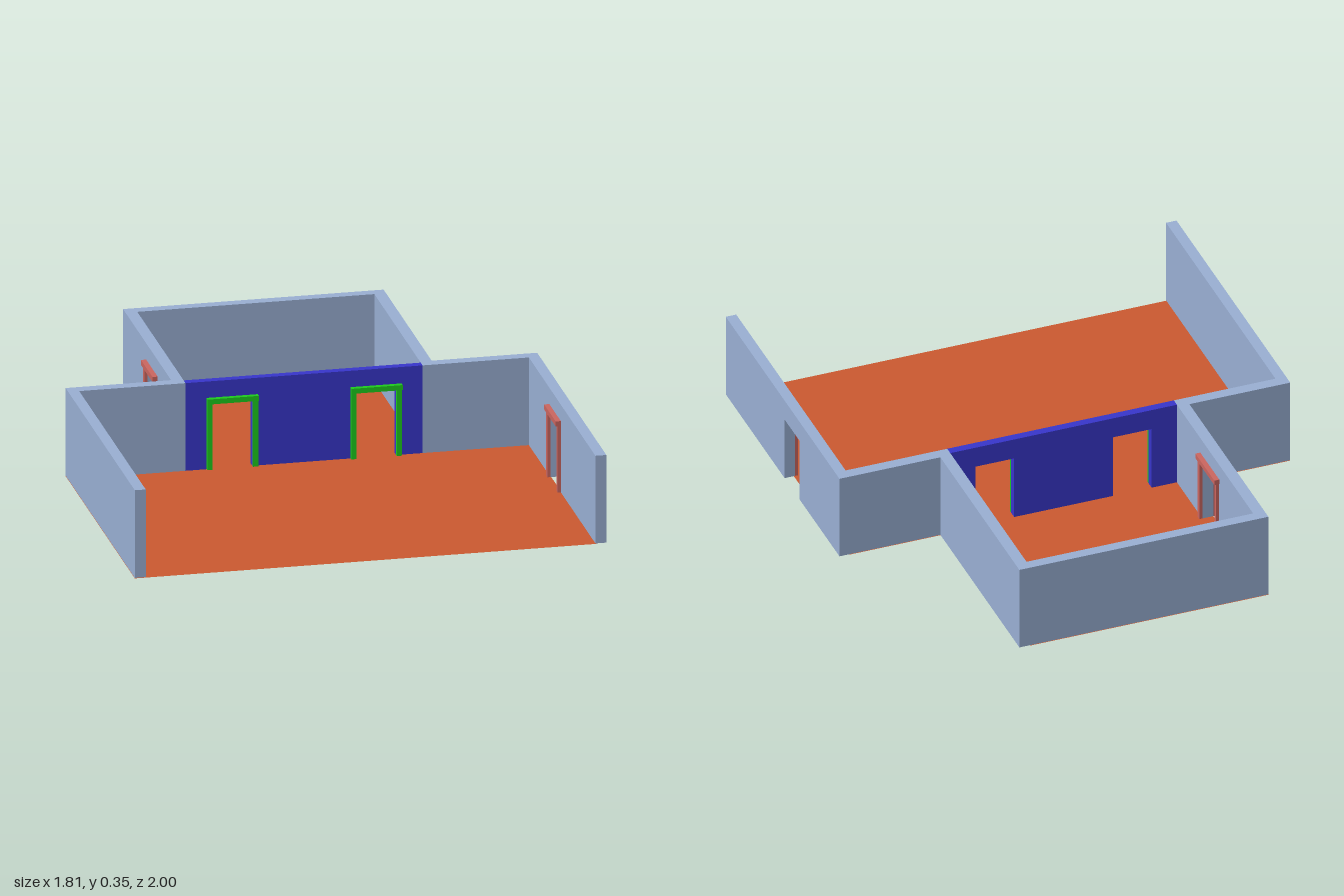
import * as THREE from 'three';

const WALL_H = 0.35, DOOR_H = 0.265, DOOR_W = 0.155, LIFT = 0.002;

export function createModel() {
  const model = new THREE.Group();
  const paint = (color) => new THREE.MeshStandardMaterial({ color, side: THREE.DoubleSide });
  const wallMat = paint(0x9ab0d4), floorMat = paint(0xcc5a30), partitionMat = paint(0x3836cc);
  const greenMat = paint(0x1ecc1e), redMat = paint(0xcc6660);

  // Upright panel from u = a to b, with door notches cut up from its foot
  function panel(name, a, b, thickness, doors, material) {
    const s = new THREE.Shape();
    s.moveTo(a, LIFT);
    for (const d of doors) {
      s.lineTo(d - DOOR_W / 2, LIFT);
      s.lineTo(d - DOOR_W / 2, DOOR_H);
      s.lineTo(d + DOOR_W / 2, DOOR_H);
      s.lineTo(d + DOOR_W / 2, LIFT);
    }
    s.lineTo(b, LIFT);
    s.lineTo(b, WALL_H);
    s.lineTo(a, WALL_H);
    const geo = new THREE.ExtrudeGeometry(s, { depth: thickness, bevelEnabled: false });
    const mesh = new THREE.Mesh(geo, material);
    mesh.name = name;
    model.add(mesh);
    return mesh;
  }

  // Wall running along z; its outer or inner face with the larger x sits at xMax
  function sideWall(name, xMax, z0, z1, thickness, doors = []) {
    const w = panel(name, z0, z1, thickness, doors, wallMat);
    w.rotation.y = -Math.PI / 2;
    w.position.x = xMax;
  }

  // Wall running along x, starting at depth z
  function crossWall(name, x0, x1, z, thickness, doors = [], material = wallMat) {
    panel(name, x0, x1, thickness, doors, material).position.z = z;
  }

  // Door surround: two slim legs under a deeper header, projecting along local +z
  function doorFrame(name, x, z, turn, material) {
    const g = new THREE.Group();
    g.name = name;
    const add = (part, w, h, d, px, py) => {
      const m = new THREE.Mesh(new THREE.BoxGeometry(w, h, d), material);
      m.name = part;
      m.position.set(px, py, d / 2);
      g.add(m);
    };
    for (const side of [-1, 1]) {
      add('frameLeg', 0.02, DOOR_H - LIFT, 0.012, side * (DOOR_W / 2 + 0.01), (DOOR_H + LIFT) / 2);
    }
    add('frameHeader', DOOR_W + 0.042, 0.02, 0.02, 0, DOOR_H + 0.01);
    g.position.set(x, 0, z);
    g.rotation.y = turn;
    model.add(g);
  }

  // T-shaped floor
  const plan = new THREE.Shape([
    [-0.905, -1], [0.867, -1], [0.867, 0.18], [0.457, 0.18],
    [0.457, 1], [-0.5, 1], [-0.5, 0.18], [-0.905, 0.18],
  ].map(([x, y]) => new THREE.Vector2(x, y)));
  const floor = new THREE.Mesh(new THREE.ShapeGeometry(plan), floorMat);
  floor.name = 'floor';
  floor.rotation.x = -Math.PI / 2;
  model.add(floor);

  // Front room
  sideWall('frontRoomLeftWall', 0.905, -0.135, 1, 0.042, [0.312]);
  sideWall('frontRoomRightWall', -0.863, -0.135, 1, 0.042);
  crossWall('leftShoulderWall', 0.455, 0.905, -0.18, 0.045);
  crossWall('rightShoulderWall', -0.905, -0.455, -0.18, 0.045);

  // Back room
  sideWall('backRoomLeftWall', 0.5, -1, -0.18, 0.045);
  sideWall('backRoomRightWall', -0.455, -1, -0.18, 0.045, [-0.508]);
  crossWall('backWall', -0.455, 0.455, -1, 0.042);

  // Partition between the rooms
  crossWall('partition', -0.455, 0.455, -0.167, 0.032, [-0.276, 0.276], partitionMat);

  // Door surrounds
  for (const side of [-1, 1]) doorFrame('partitionDoorFrame', side * 0.276, -0.135, 0, greenMat);
  doorFrame('frontRoomDoorFrame', 0.863, 0.312, -Math.PI / 2, redMat);
  doorFrame('backRoomOuterDoorFrame', -0.5, -0.508, -Math.PI / 2, redMat);
  doorFrame('backRoomInnerDoorFrame', -0.455, -0.508, Math.PI / 2, redMat);

  return model;
}
